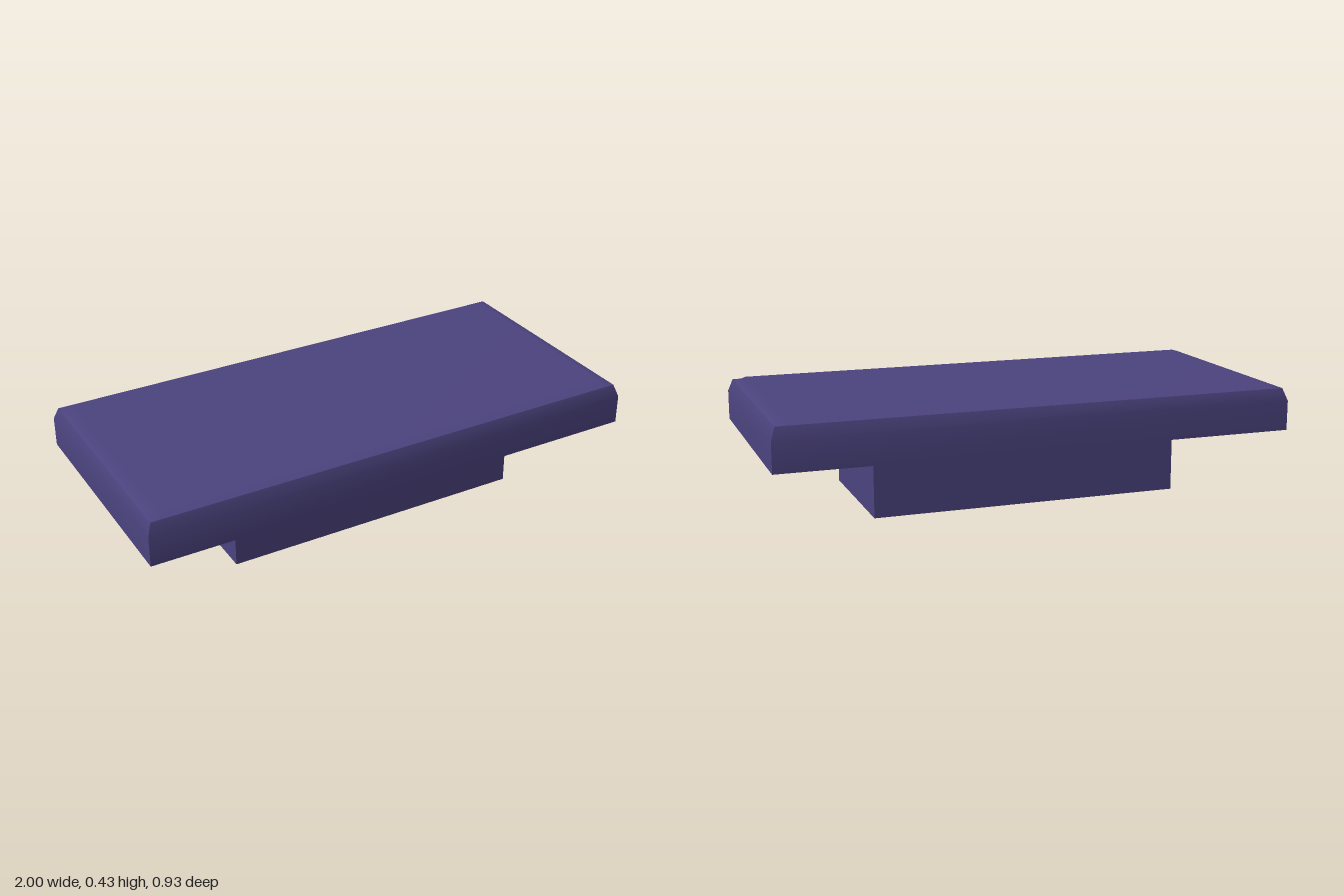
import * as THREE from 'three';
import { mergeGeometries } from 'three/addons/utils/BufferGeometryUtils.js';

// Smooth patch through rows of points (left to right, bottom to top as seen from its front)
function patch(rows) {
  const n = rows[0].length;
  const index = [];
  for (let r = 0; r < rows.length - 1; r++) {
    for (let c = 0; c < n - 1; c++) {
      const a = r * n + c;
      index.push(a, a + 1, a + n + 1, a, a + n + 1, a + n);
    }
  }
  const g = new THREE.BufferGeometry();
  g.setAttribute('position', new THREE.Float32BufferAttribute(rows.flat(2), 3));
  g.setIndex(index);
  g.computeVertexNormals();
  return g;
}

export function createModel() {
  const group = new THREE.Group();
  const purple = new THREE.MeshStandardMaterial({ color: 0x4b437e });
  purple.name = 'dusky purple';

  const HX = 1, HZ = 0.466;
  const baseY = 0.247, shoulderY = 0.362, rimY = 0.41, topY = 0.425;
  const rim = 0.017, crown = 0.062; // insets of the rim and of the raised top

  // Slab walls: upright, then leaning in to the rim, with sharp corners between sides
  const corners = [[-1, 1], [1, 1], [1, -1], [-1, -1]];
  const levels = [[baseY, 0], [shoulderY, 0], [rimY, rim]];
  const parts = corners.map((from, i) => {
    const to = corners[(i + 1) % 4];
    return patch(levels.map(([y, inset]) =>
      [from, to].map(([sx, sz]) => [sx * (HX - inset), y, sz * (HZ - inset)])));
  });

  // Gently crowned top
  const steps = (h) => [-(h - rim), -(h - crown), h - crown, h - rim];
  parts.push(patch(steps(HZ).reverse().map((z, r) =>
    steps(HX).map((x, c) => [x, r % 3 && c % 3 ? topY : rimY, z]))));

  // Flat underside
  parts.push(patch([-HZ, HZ].map((z) => [-HX, HX].map((x) => [x, baseY, z]))));

  const slab = new THREE.Mesh(mergeGeometries(parts), purple);
  slab.name = 'topSlab';
  group.add(slab);

  // Narrower block below
  const base = new THREE.Mesh(new THREE.BoxGeometry(1.2, baseY, 0.564), purple);
  base.position.y = baseY / 2;
  base.name = 'baseBlock';
  group.add(base);

  return group;
}
